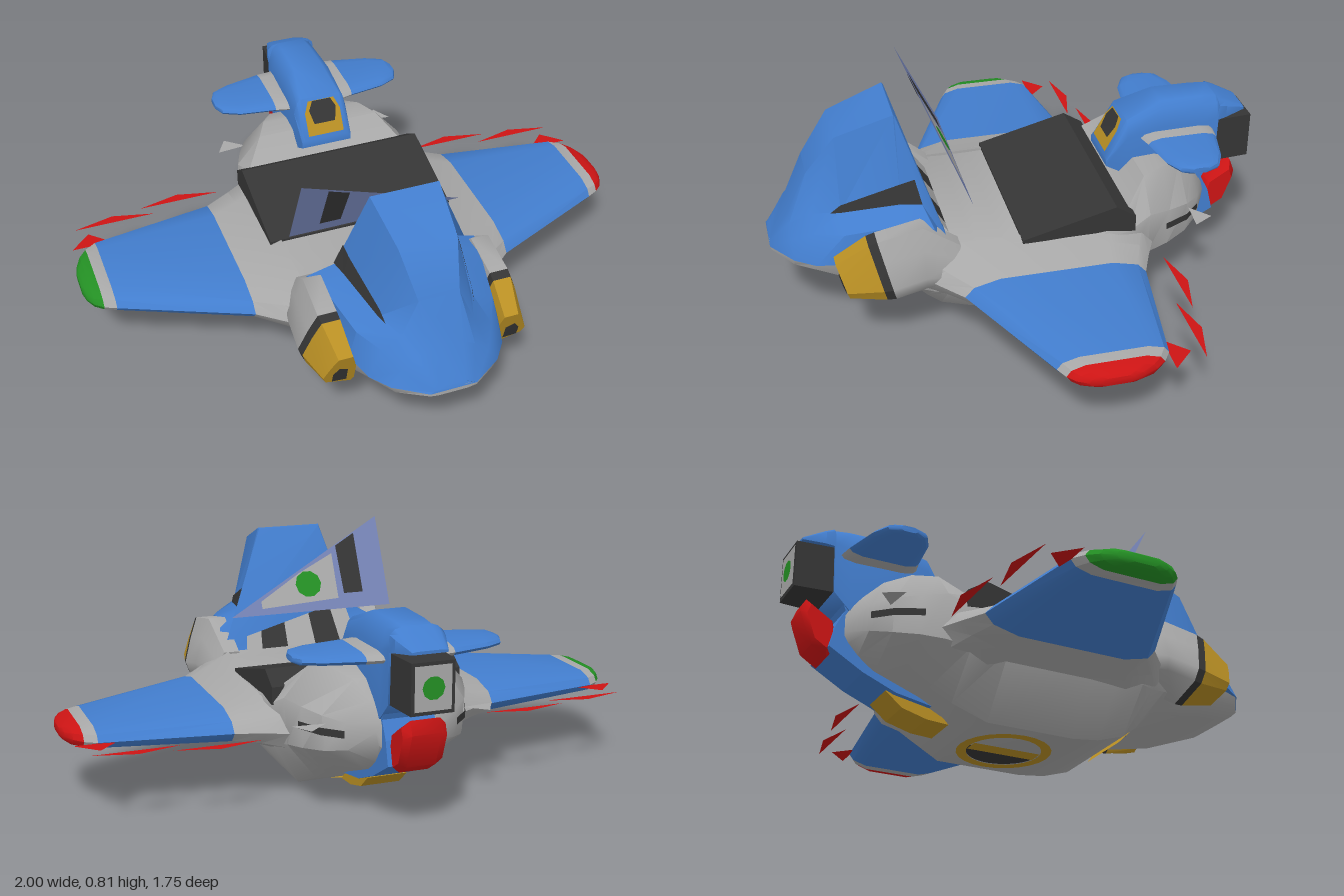
import * as THREE from 'three';
import { toCreasedNormals } from 'three/addons/utils/BufferGeometryUtils.js';

const mat = (name, color) => {
  const m = new THREE.MeshStandardMaterial({ color, side: THREE.DoubleSide });
  m.name = name;
  return m;
};

export function createModel() {
  const blue = mat('blue', 0x427dcd), grey = mat('grey', 0xa8a8a8), dark = mat('charcoal', 0x353535);
  const gold = mat('gold', 0xba9024), red = mat('red', 0xcc1414), green = mat('green', 0x249024);
  const lavender = mat('lavender', 0x7583b5);
  const model = new THREE.Group();
  model.name = 'flyingCraft';

  const add = (name, geometry, material) => {
    const mesh = new THREE.Mesh(geometry, material);
    mesh.name = name;
    model.add(mesh);
    return mesh;
  };

  // Skin over a row of closed rings, capped at both ends, always wound outward
  const loft = (name, rings, material, crease = 0.6) => {
    const n = rings[0].length, tris = [];
    for (let i = 0; i < rings.length - 1; i++) {
      for (let j = 0; j < n; j++) {
        const k = (j + 1) % n, a = rings[i], b = rings[i + 1];
        tris.push([a[j], a[k], b[k]], [a[j], b[k], b[j]]);
      }
    }
    const first = rings[0], last = rings[rings.length - 1];
    for (let j = 1; j < n - 1; j++) {
      tris.push([first[0], first[j + 1], first[j]], [last[0], last[j], last[j + 1]]);
    }
    let volume = 0;
    for (const [a, b, c] of tris) {
      volume += a[0] * (b[1] * c[2] - b[2] * c[1]) + a[1] * (b[2] * c[0] - b[0] * c[2]) + a[2] * (b[0] * c[1] - b[1] * c[0]);
    }
    const pos = tris.flatMap(([a, b, c]) => (volume < 0 ? [a, c, b] : [a, b, c])).flat();
    const g = new THREE.BufferGeometry();
    g.setAttribute('position', new THREE.Float32BufferAttribute(pos, 3));
    return add(name, toCreasedNormals(g, crease), material);
  };

  // Thin convex face for painted details
  const plate = (name, pts, material) => {
    const pos = [];
    for (let j = 1; j < pts.length - 1; j++) pos.push(...pts[0], ...pts[j], ...pts[j + 1]);
    const g = new THREE.BufferGeometry();
    g.setAttribute('position', new THREE.Float32BufferAttribute(pos, 3));
    g.computeVertexNormals();
    return add(name, g, material);
  };

  // Side profile of [z, y] points given a width across x
  const slab = (name, pts, width, material) => {
    const shape = new THREE.Shape(pts.map(([z, y]) => new THREE.Vector2(z, y)));
    const g = new THREE.ExtrudeGeometry(shape, { depth: width, bevelEnabled: false });
    g.translate(0, 0, -width / 2).rotateY(-Math.PI / 2);
    return add(name, g, material);
  };

  // Symmetric ring from the +x half, listed bottom to top
  const mirrorRing = (half) => [...half, ...half.map(([x, y, z]) => [-x, y, z]).reverse()];

  // Hull: z, then bottom, lower side, upper side and top as x, y
  const hull = [
    [0.87, 0.05, 0.285, 0.08, 0.29, 0.08, 0.3, 0.07, 0.305],
    [0.8, 0.1, 0.24, 0.17, 0.275, 0.18, 0.3, 0.15, 0.31],
    [0.63, 0.17, 0.19, 0.24, 0.24, 0.255, 0.3, 0.2, 0.32],
    [0.41, 0.2, 0.155, 0.3, 0.2, 0.33, 0.3, 0.25, 0.38],
    [0.35, 0.2, 0.09, 0.32, 0.19, 0.34, 0.32, 0.28, 0.365],
    [0.3, 0.2, 0.05, 0.34, 0.19, 0.345, 0.32, 0.3, 0.355],
    [0.2, 0.2, 0.018, 0.35, 0.195, 0.355, 0.33, 0.33, 0.35],
    [0.1, 0.2, 0.006, 0.36, 0.2, 0.36, 0.33, 0.33, 0.35],
    [-0.22, 0.2, 0.006, 0.36, 0.2, 0.36, 0.33, 0.33, 0.36],
    [-0.34, 0.18, 0.06, 0.33, 0.2, 0.34, 0.34, 0.3, 0.4],
    [-0.42, 0.17, 0.1, 0.31, 0.22, 0.32, 0.38, 0.23, 0.485],
    [-0.5, 0.14, 0.13, 0.285, 0.23, 0.29, 0.37, 0.19, 0.49],
    [-0.58, 0.1, 0.16, 0.24, 0.24, 0.25, 0.36, 0.14, 0.465],
    [-0.64, 0.08, 0.2, 0.185, 0.255, 0.19, 0.345, 0.11, 0.41],
    [-0.69, 0.05, 0.24, 0.1, 0.275, 0.11, 0.32, 0.08, 0.35],
  ];
  loft('hull', hull.map(([z, ...p]) => mirrorRing([0, 2, 4, 6].map((i) => [p[i], p[i + 1], z]))), grey, 0.75);

  // Nose and cockpit hood: foot, ledge, shoulder and crown points
  const hood = [
    [[0.08, 0.3, 0.872], [0.07, 0.305, 0.871], [0.06, 0.31, 0.87], [0.04, 0.315, 0.865]],
    [[0.185, 0.3, 0.8], [0.15, 0.36, 0.8], [0.1, 0.4, 0.8], [0.06, 0.42, 0.8]],
    [[0.235, 0.3, 0.73], [0.19, 0.4, 0.73], [0.125, 0.44, 0.73], [0.07, 0.57, 0.73]],
    [[0.265, 0.31, 0.63], [0.24, 0.41, 0.63], [0.16, 0.455, 0.63], [0.1, 0.71, 0.63]],
    [[0.28, 0.34, 0.43], [0.28, 0.445, 0.43], [0.205, 0.48, 0.43], [0.12, 0.78, 0.43]],
    [[0.31, 0.35, 0.28], [0.305, 0.43, 0.335], [0.215, 0.475, 0.358], [0.118, 0.775, 0.425]],
  ];
  loft('cockpitHood', hood.map(mirrorRing), blue, 0.75);

  for (const s of [1, -1]) {
    // Dark side window on the hood
    const at = (i, t) => hood[i][2].map((v, k) => (v + (hood[i][3][k] - v) * t + (k === 0 ? 0.006 : 0)) * (k === 0 ? s : 1));
    const tip = at(3, 0).map((v, k) => v + (at(2, 0)[k] - v) * 0.35);
    plate('sideWindow', [tip, at(3, 0), at(3, 0.1)], dark);
    plate('sideWindow', [at(3, 0), at(4, 0.02), at(4, 0.24), at(3, 0.1)], dark);
    plate('sideWindow', [at(4, 0.02), at(5, 0.02), at(5, 0.3), at(4, 0.24)], dark);

    // Engine pod leaning inward at the top: upper z, lower z, x range, y range
    const podOutline = [[0.1, 0], [0.9, 0.18], [1, 0.36], [0.8, 0.72], [0.6, 1], [0.15, 1], [0, 0.6], [0, 0.1]];
    const podRing = ([zt, zb, x0, x1, y0, y1]) =>
      podOutline.map(([u, v]) => [(x0 + (x1 - x0) * u) * s, y0 + (y1 - y0) * v, zb + (zt - zb) * v]);
    const pod = [
      [0.675, 0.63, 0.25, 0.36, 0.205, 0.35], [0.565, 0.505, 0.25, 0.39, 0.18, 0.42],
      [0.535, 0.475, 0.25, 0.395, 0.18, 0.43], [0.38, 0.38, 0.25, 0.39, 0.2, 0.46], [0.25, 0.28, 0.24, 0.365, 0.22, 0.36],
    ].map(podRing);
    loft('podIntake', pod.slice(0, 2), gold);
    loft('podBand', pod.slice(1, 3), dark);
    loft('podBody', pod.slice(2), grey, 0.9);
    plate('podInlet', [[0.28, 0.23, 0.644], [0.33, 0.235, 0.645], [0.33, 0.275, 0.658], [0.31, 0.305, 0.667], [0.28, 0.29, 0.662]]
      .map(([x, y, z]) => [x * s, y, z]), dark);

    // Wing: x, front z, back z, bottom y, top y
    const wingRing = ([x, f, b, y0, y1]) => {
      const m = (y0 + y1) / 2, c = 0.12 * (f - b), h = (y1 - y0) * 0.3;
      return [[f, m], [f - c * 0.4, m + h], [f - c * 1.6, y1], [b + c * 1.6, y1], [b + c * 0.4, m + h],
        [b, m], [b + c * 0.4, m - h], [b + c * 1.6, y0], [f - c * 1.6, y0], [f - c * 0.4, m - h]].map(([z, y]) => [x * s, y, z]);
    };
    const wing = [
      [0.3, 0.42, -0.44, 0.16, 0.36], [0.38, 0.35, -0.4, 0.185, 0.335], [0.47, 0.27, -0.36, 0.2, 0.312],
      [0.905, 0.075, -0.292, 0.22, 0.294], [0.945, 0.055, -0.265, 0.222, 0.291],
      [0.973, 0.03, -0.23, 0.226, 0.286], [0.992, -0.005, -0.185, 0.235, 0.277], [1, -0.04, -0.15, 0.242, 0.27],
    ].map(wingRing);
    loft('wingRoot', wing.slice(0, 3), grey);
    loft('wing', wing.slice(2, 4), blue);
    loft('wingBand', wing.slice(3, 5), grey);
    loft('wingTipLight', wing.slice(4), s > 0 ? red : green);

    // Tailplane
    const tail = [
      [0.07, -0.44, -0.72, 0.54, 0.58], [0.15, -0.46, -0.71, 0.54, 0.58], [0.28, -0.48, -0.68, 0.543, 0.577],
      [0.34, -0.51, -0.65, 0.545, 0.575], [0.357, -0.55, -0.61, 0.55, 0.57],
    ].map(wingRing);
    loft('tailplaneRoot', tail.slice(0, 2), grey);
    loft('tailplane', tail.slice(1), blue);

    // Dart markers floating behind the wing
    for (const [x0, x1, z0, z1] of [[0.4, 0.7, -0.445, -0.482], [0.66, 0.955, -0.4, -0.437], [0.84, 0.985, -0.29, -0.362]]) {
      plate('dartMarker', [[x0 * s, 0.255, z0], [x1 * s, 0.255, z0], [s * (x0 + x1) / 2, 0.255, z1]], red);
    }
    plate('rearFinlet', [[0.24, 0.335, -0.59], [0.35, 0.335, -0.58], [0.31, 0.335, -0.65]].map(([x, y, z]) => [x * s, y, z]), grey);

    // Rear side vent
    const vent = [[0.297, -0.49], [0.255, -0.58], [0.196, -0.64]];
    for (let i = 0; i < 2; i++) {
      const [a, b] = [vent[i], vent[i + 1]];
      plate('sideVent', [[a[0] * s, 0.295, a[1]], [b[0] * s, 0.295, b[1]], [b[0] * s, 0.32, b[1]], [a[0] * s, 0.32, a[1]]], dark);
    }
  }

  // Sloping rear deck cover
  slab('deckCover', [[0.04, 0.34], [0.04, 0.36], [-0.29, 0.445], [-0.36, 0.4], [-0.36, 0.34]], 0.68, dark);

  // Striped seat back on the rear of the hood, in a lower and an upper row
  const seatEdges = [0.22, 0.16, 0.06, -0.05, -0.15, -0.22];
  const seatRows = [[0.355, 0.272, 1], [0.475, 0.35, 0.9], [0.58, 0.373, 0.75]];
  for (let i = 0; i < 5; i++) {
    for (let r = 0; r < 2; r++) {
      const [[y0, z0, k0], [y1, z1, k1]] = [seatRows[r], seatRows[r + 1]];
      const [a, b] = [seatEdges[i], seatEdges[i + 1]];
      plate('seatStripe', [[a * k0, y0, z0], [b * k0, y0, z0], [b * k1, y1, z1], [a * k1, y1, z1]], i % 2 ? dark : grey);
    }
  }

  // Tilted display behind the hood, points placed by x and height
  const onScreen = (lift) => ([x, y]) => [x, y + lift, 0.2 + (y - 0.5) * 0.484 - lift];
  plate('displayPanel', [[-0.32, 0.5], [0.3, 0.5], [-0.32, 0.81]].map(onScreen(0)), lavender);
  plate('displayField', [[-0.12, 0.535], [0.18, 0.52], [0.18, 0.545], [0.02, 0.63], [-0.12, 0.69]].map(onScreen(0.002)), grey);
  for (const lift of [0.002, -0.002]) {
    plate('displayBar', [[-0.22, 0.55], [-0.145, 0.55], [-0.14, 0.715], [-0.22, 0.755]].map(onScreen(lift)), dark);
  }
  plate('displayDot', Array.from({ length: 10 }, (_, i) => [0.05 * Math.cos(i * Math.PI / 5) - 0.01, 0.59 + 0.045 * Math.sin(i * Math.PI / 5)])
    .map(onScreen(0.004)), green);

  // Tail fin: z, half width, bottom y, top y, crown width ratio
  const fin = [
    [-0.325, 0.095, 0.46, 0.49, 0.75], [-0.4, 0.1, 0.42, 0.625, 0.75], [-0.53, 0.1, 0.4, 0.675, 0.55], [-0.68, 0.095, 0.36, 0.675, 0.55],
    [-0.735, 0.09, 0.42, 0.67, 0.55], [-0.74, 0.09, 0.59, 0.668, 0.55], [-0.77, 0.085, 0.595, 0.655, 0.55], [-0.845, 0.06, 0.605, 0.615, 0.6],
  ];
  loft('tailFin', fin.map(([z, w, y0, y1, k]) => mirrorRing([
    [w, y0, z], [w, y1 - (y1 - y0) * 0.28, z], [w * (k + 1.3) / 2.3, y1 - (y1 - y0) * 0.07, z], [w * k, y1, z],
  ])), blue, 0.9);
  plate('finFrame', [[-0.068, 0.505, -0.326], [0.068, 0.505, -0.326], [0.068, 0.58, -0.367], [0.05, 0.618, -0.388], [-0.05, 0.618, -0.388], [-0.068, 0.58, -0.367]], gold);
  plate('finWindow', [[-0.04, 0.545, -0.342], [0.04, 0.545, -0.342], [0.052, 0.59, -0.367], [0.035, 0.62, -0.383], [-0.035, 0.62, -0.383], [-0.052, 0.59, -0.367]], dark);

  // Rear nozzle with a lit centre
  const nozzleRing = (w, z) => mirrorRing([[w, 0.42, z], [w, 0.587, z]]);
  loft('nozzle', [nozzleRing(0.085, -0.725), nozzleRing(0.073, -0.868)], dark);
  plate('nozzleFace', [[-0.062, 0.432, -0.87], [0.062, 0.432, -0.87], [0.062, 0.576, -0.87], [-0.062, 0.576, -0.87]], grey);
  add('nozzleGlow', new THREE.CircleGeometry(0.038, 10).rotateY(Math.PI), green).position.set(0, 0.505, -0.873);

  // Spine under the tail and skid
  slab('tailSpine', [[-0.34, 0.07], [-0.5, 0.1], [-0.62, 0.15], [-0.74, 0.22], [-0.72, 0.3], [-0.69, 0.36], [-0.72, 0.43], [-0.6, 0.44], [-0.45, 0.2]], 0.18, blue);
  slab('rearSkid', [[-0.3, 0.03], [-0.38, 0.035], [-0.47, 0.06], [-0.53, 0.11], [-0.38, 0.11]], 0.14, gold);

  // Rounded rear light
  const lightOutline = [[-0.7, 0.24], [-0.735, 0.195], [-0.79, 0.23], [-0.832, 0.345], [-0.815, 0.39], [-0.72, 0.33]];
  loft('rearLight', [[-0.075, 0.75], [-0.05, 1], [0.05, 1], [0.075, 0.75]].map(([x, k]) =>
    lightOutline.map(([z, y]) => [x, 0.29 + (y - 0.29) * k, -0.77 + (z + 0.77) * k])), red, 0.8);

  // Chin intake
  const onChin = (lift) => ([x, y]) => [x, y - lift, 0.35 + (y - 0.09) * 0.9 + lift];
  plate('chinFrame', [[-0.11, 0.07], [0.11, 0.07], [0.145, 0.125], [-0.145, 0.125]].map(onChin(0.004)), gold);
  plate('chinInlet', [[-0.085, 0.092], [0.085, 0.092], [0.11, 0.122], [-0.11, 0.122]].map(onChin(0.007)), dark);

  // Belly hatch ring, half open, with a cross bar
  add('bellyRing', new THREE.RingGeometry(0.13, 0.165, 24).rotateX(Math.PI / 2), gold).position.set(0, 0, -0.06);
  add('bellyHatch', new THREE.CircleGeometry(0.13, 16, -Math.PI / 2, Math.PI).rotateX(Math.PI / 2), dark).position.set(0, 0.003, -0.06);
  add('bellyBar', new THREE.PlaneGeometry(0.06, 0.25).rotateX(Math.PI / 2), gold).position.set(0, 0, -0.06);
  return model;
}
